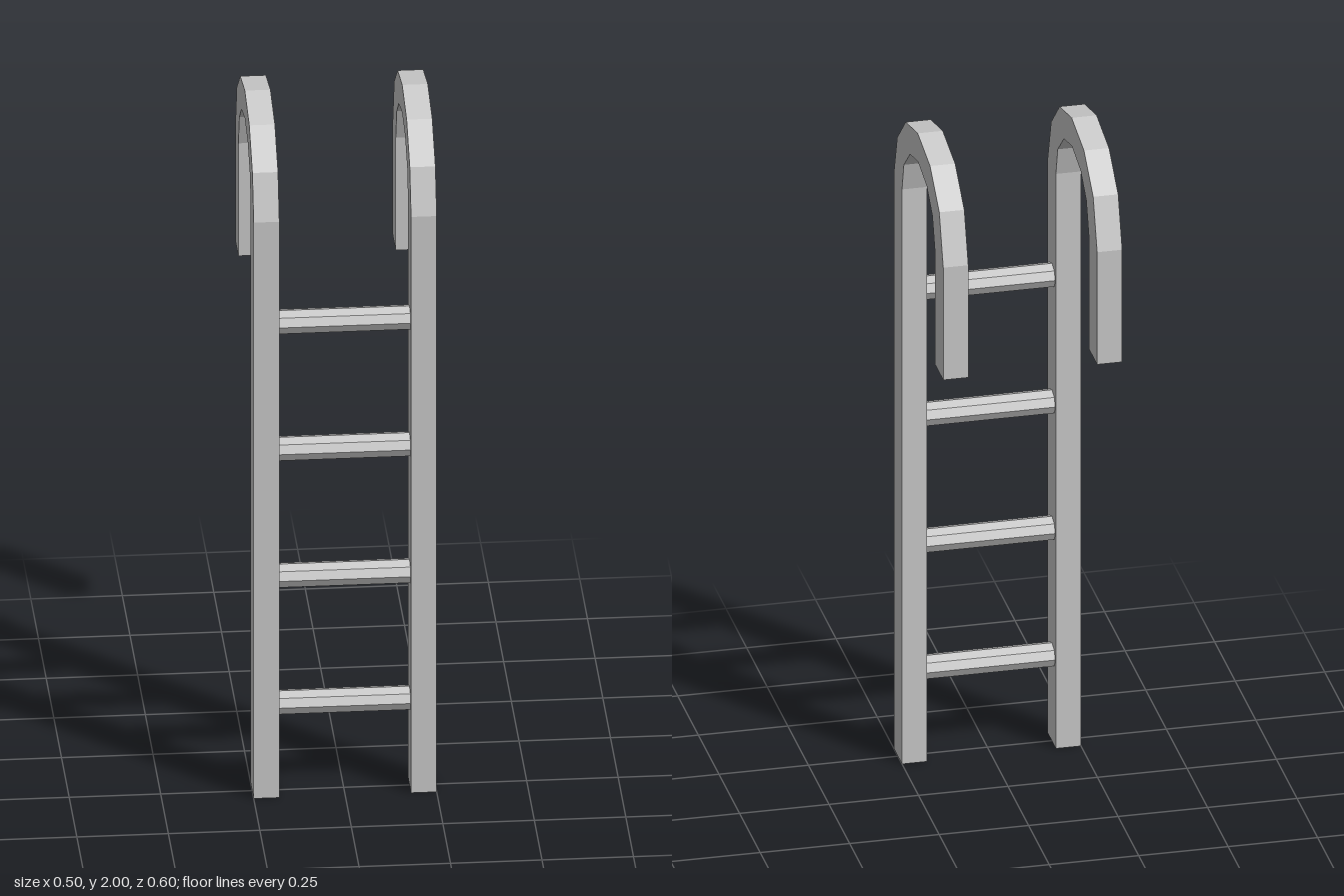
import * as THREE from 'three';

const material = new THREE.MeshStandardMaterial({ color: 0xcccccc, flatShading: true });

// Side profile of a rail as [z, y]: up the outside, over the hook, back along the inside
const RAIL_PROFILE = [
  [0.3, 0], [0.3, 1.74], [0.258, 1.87], [0.156, 1.965], [0.01, 2],
  [-0.14, 1.972], [-0.252, 1.885], [-0.3, 1.74], [-0.3, 1.4],
  [-0.2, 1.4], [-0.2, 1.74], [-0.168, 1.835], [-0.1, 1.892], [0.008, 1.916],
  [0.104, 1.892], [0.178, 1.825], [0.2, 1.74], [0.2, 0],
];
const RAIL_WIDTH = 0.07;
const RAIL_X = 0.215;

// Hooked rail, extruded across its width and centred on x = 0
function railGeometry() {
  const shape = new THREE.Shape(RAIL_PROFILE.map(([z, y]) => new THREE.Vector2(z, y)));
  const geometry = new THREE.ExtrudeGeometry(shape, { depth: RAIL_WIDTH, bevelEnabled: false });
  geometry.translate(0, 0, -RAIL_WIDTH / 2);
  geometry.rotateY(-Math.PI / 2);
  return geometry;
}

// Eight-sided rung lying along x, slightly deeper than tall
function rungGeometry() {
  const geometry = new THREE.CylinderGeometry(0.04, 0.04, 2 * RAIL_X - RAIL_WIDTH, 8);
  geometry.rotateZ(Math.PI / 2);
  geometry.scale(1, 0.84, 1);
  return geometry;
}

export function createModel() {
  const ladder = new THREE.Group();
  ladder.name = 'hookLadder';

  const rail = railGeometry();
  for (const [name, side] of [['leftRail', 1], ['rightRail', -1]]) {
    const mesh = new THREE.Mesh(rail, material);
    mesh.name = name;
    mesh.position.x = side * RAIL_X;
    ladder.add(mesh);
  }

  const rung = rungGeometry();
  for (let i = 0; i < 4; i++) {
    const mesh = new THREE.Mesh(rung, material);
    mesh.name = `rung${i + 1}`;
    mesh.position.set(0, 0.264 + i * 0.383, 0.248);
    ladder.add(mesh);
  }
  return ladder;
}
